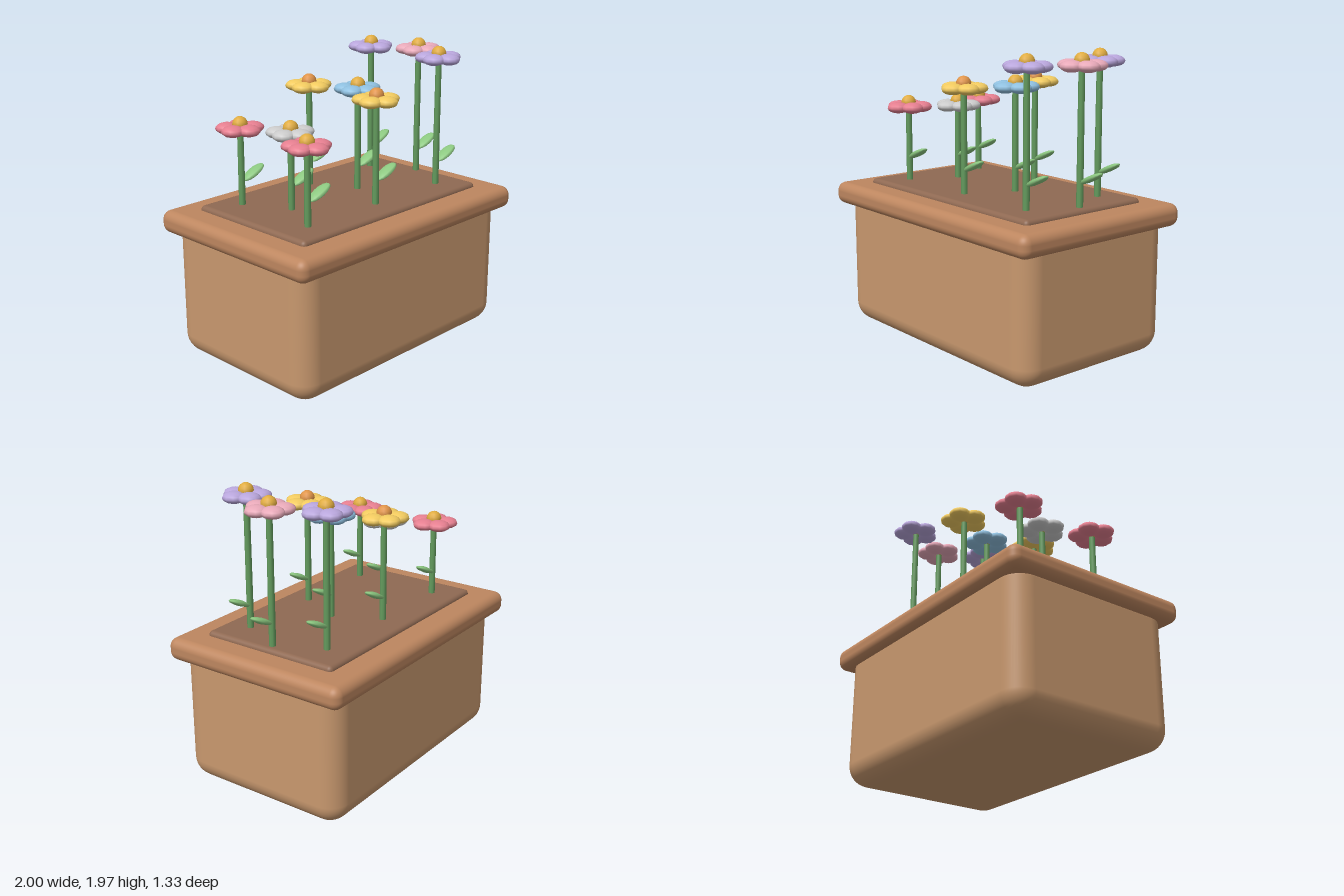
import * as THREE from 'three';
import { RoundedBoxGeometry } from 'three/addons/geometries/RoundedBoxGeometry.js';

const materials = {};
const mat = (color) => (materials[color] ??= new THREE.MeshStandardMaterial({ color }));

function add(parent, name, geometry, color, x = 0, y = 0, z = 0) {
  const mesh = new THREE.Mesh(geometry, mat(color));
  mesh.name = name;
  mesh.position.set(x, y, z);
  parent.add(mesh);
  return mesh;
}

// Rounded block spanning the heights y0 to y1
function block(parent, name, w, y0, y1, d, r, color) {
  return add(parent, name, new RoundedBoxGeometry(w, y1 - y0, d, 5, r), color, 0, (y0 + y1) / 2, 0);
}

const SOIL_Y = 1.0;
const petalGeo = new THREE.SphereGeometry(1, 10, 8).scale(0.075, 0.037, 0.075);
const centreGeo = new THREE.SphereGeometry(0.05, 12, 8);
const leafGeo = new THREE.SphereGeometry(1, 8, 8).rotateZ(Math.PI / 2).scale(0.092, 0.02, 0.05);

function createFlower(height, petalColor, centreColor) {
  const flower = new THREE.Group();
  flower.name = 'flower';
  const stemLength = height - SOIL_Y;
  add(flower, 'stem', new THREE.CylinderGeometry(0.02, 0.022, stemLength, 8), 0x649c5e, 0, SOIL_Y + stemLength / 2, 0);

  // One leaf leaning up toward +x
  add(flower, 'leaf', leafGeo, 0x8cc880, 0.1, 1.215, 0).rotation.z = 0.45;

  // Five petals, the first one facing the front
  for (let i = 0; i < 5; i++) {
    const a = (i * Math.PI * 2) / 5;
    add(flower, 'petal', petalGeo, petalColor, Math.sin(a) * 0.085, height, Math.cos(a) * 0.085).rotation.y = a;
  }
  add(flower, 'flowerCentre', centreGeo, centreColor, 0, height + 0.03, 0);
  return flower;
}

export function createModel() {
  const model = new THREE.Group();
  model.name = 'flowerPlanter';

  // Planter box, rim and soil
  block(model, 'planterBody', 1.88, 0, 0.97, 1.21, 0.14, 0xc8986e);
  block(model, 'planterRim', 2, 0.84, 0.99, 1.33, 0.06, 0xbd865f);
  block(model, 'soil', 1.63, 0.92, 1.02, 0.97, 0.03, 0x8f6952);

  // Three columns of flowers rising toward +x, middle row staggered
  const columns = [
    { x: -0.607, height: 1.523, outer: 0xe67f90, middle: 0xcccccc, centre: 0xe0ac40 },
    { x: 0, height: 1.704, outer: 0xf2cb60, middle: 0x8fc0e0, centre: 0xe09448 },
    { x: 0.605, height: 1.886, outer: 0xb9a6dc, middle: 0xe8a9b9, centre: 0xe0ac40 },
  ];
  for (const { x, height, outer, middle, centre } of columns) {
    for (const row of [-1, 0, 1]) {
      const flower = row === 0
        ? createFlower(height, middle, 0xe0ac40)
        : createFlower(height, outer, centre);
      flower.position.set(row === 0 ? x + 0.151 : x, 0, row * 0.303);
      model.add(flower);
    }
  }
  return model;
}
